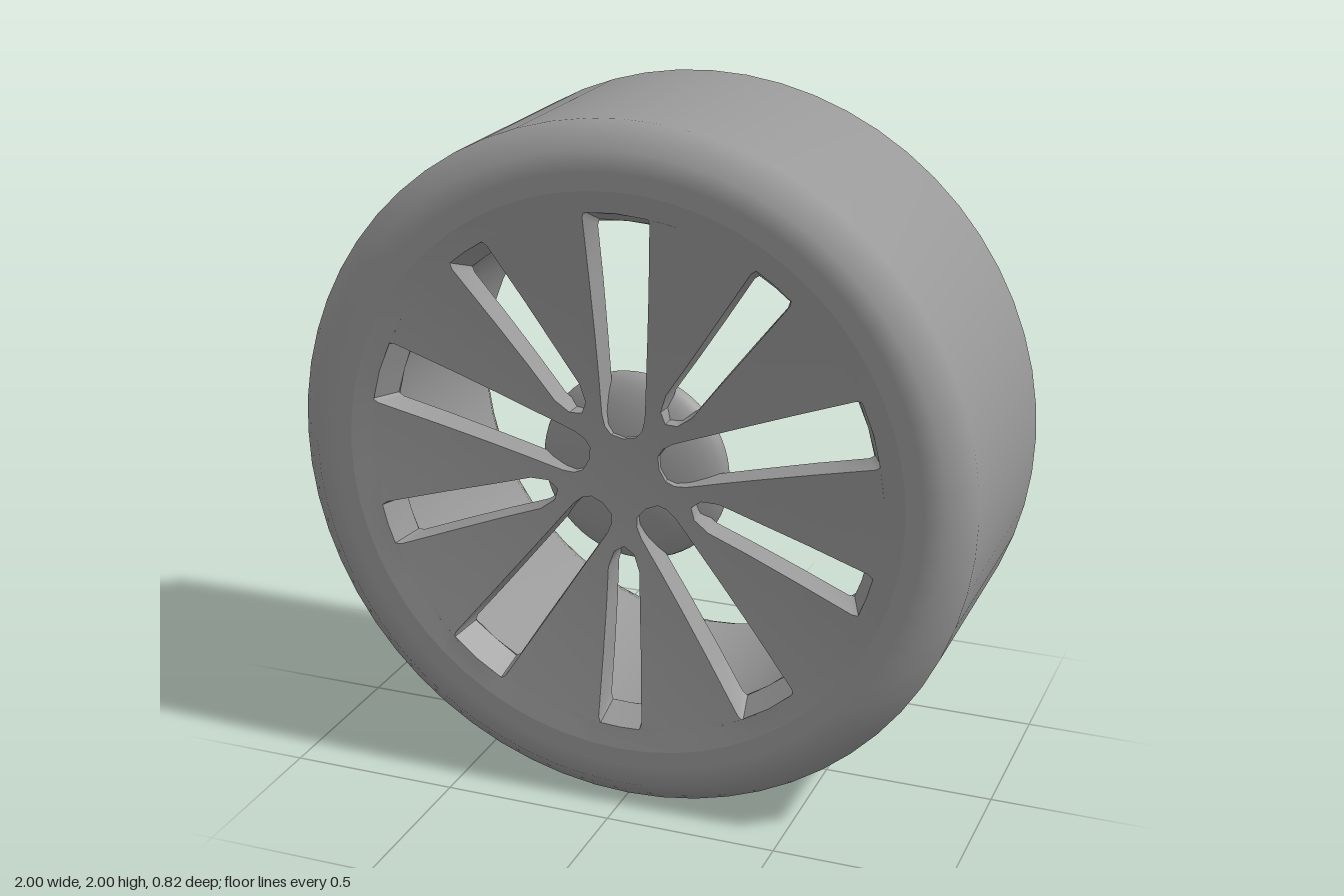
import * as THREE from 'three';
import { toCreasedNormals } from 'three/addons/utils/BufferGeometryUtils.js';

const SIDES = 60;
const SECTOR = Math.PI / 5; // from a wide slot to the next narrow slot
const RIM = 0.82;
const material = new THREE.MeshStandardMaterial({ color: 0x999999 });

function part(name, geometry) {
  const mesh = new THREE.Mesh(geometry, material);
  mesh.name = name;
  return mesh;
}

// Ring turned around the z axis; points are [radius, z]
function turned(points) {
  const g = new THREE.LatheGeometry(points.map(p => new THREE.Vector2(...p)), SIDES);
  return g.rotateX(Math.PI / 2);
}

// Half slot outlines from the centre outwards: [distance along slot, half width]
const WIDE = [
  [0, 0], [0.11, 0], [0.118, 0.037], [0.14, 0.055], [0.173, 0.063], [0.22, 0.066], [0.28, 0.069],
  [0.4, 0.076], [0.55, 0.085], [0.74, 0.096], [0.758, 0.09], [0.76, 0], [RIM, 0],
];
const NARROW = [
  [0, 0], [0.11, 0], [0.15, 0], [0.18, 0], [0.21, 0], [0.23, 0.03], [0.28, 0.047],
  [0.4, 0.051], [0.55, 0.058], [0.735, 0.066], [0.753, 0.06], [0.755, 0], [RIM, 0],
];
const COLS = 6;

// Grid of points across one spoke, blended in polar coordinates;
// the back is less dished and its slots are smaller
function spokeGrid(axis, side, back) {
  const polar = ([u, v]) => {
    const a = back && u > 0.7 && u < 0.77 ? u - 0.04 : u;
    const b = back ? v * 0.88 : v;
    return [Math.hypot(a, b), Math.atan2(b, a)];
  };
  return WIDE.map((w, i) => {
    const [r0, a0] = polar(w);
    const [r1, a1] = polar(NARROW[i]);
    return Array.from({ length: COLS + 1 }, (_, j) => {
      const t = j / COLS;
      const r = r0 + (r1 - r0) * t;
      const angle = axis + side * (a0 + (SECTOR - a1 - a0) * t);
      const dish = 1 - (r / RIM) ** 2;
      const z = back ? 0.33 - 0.04 * dish : 0.41 - 0.055 * dish;
      return [r * Math.cos(angle), r * Math.sin(angle), z];
    });
  });
}

// Spoked face: ten mirrored spokes joined at the centre and the rim
function spokedFace() {
  const positions = [];
  const quad = (side, a, b, c, d) => {
    const [p, q, r, s] = side > 0 ? [a, b, c, d] : [d, c, b, a];
    positions.push(...p, ...q, ...r, ...p, ...r, ...s);
  };
  for (let k = 0; k < 5; k++) {
    for (const side of [1, -1]) {
      const axis = Math.PI / 2 + k * 2 * SECTOR;
      const f = spokeGrid(axis, side, false);
      const b = spokeGrid(axis, side, true);
      for (let i = 0; i < WIDE.length - 1; i++) {
        for (let j = 0; j < COLS; j++) {
          quad(side, f[i][j], f[i + 1][j], f[i + 1][j + 1], f[i][j + 1]);
          quad(side, b[i][j + 1], b[i + 1][j + 1], b[i + 1][j], b[i][j]);
        }
        // Slot walls
        if (WIDE[i][1] + WIDE[i + 1][1] > 0)
          quad(side, f[i][0], b[i][0], b[i + 1][0], f[i + 1][0]);
        if (NARROW[i][1] + NARROW[i + 1][1] > 0)
          quad(side, f[i + 1][COLS], b[i + 1][COLS], b[i][COLS], f[i][COLS]);
      }
    }
  }
  const g = new THREE.BufferGeometry();
  g.setAttribute('position', new THREE.Float32BufferAttribute(positions, 3));
  return toCreasedNormals(g, 0.6);
}

export function createModel() {
  const wheel = new THREE.Group();
  wheel.name = 'wheel';

  // Tyre with its inner barrel and rounded shoulders
  wheel.add(part('tyre', turned([
    [0.745, 0.34], [0.745, -0.34], [0.765, -0.385], [0.82, -0.41], [0.93, -0.41],
    [1, -0.34], [1, 0.34], [0.93, 0.41], [0.87, 0.41], [RIM, 0.41],
  ])));

  wheel.add(part('spokedFace', spokedFace()));

  // Domed hub with a flat back
  const hub = [[0, 0.265]];
  for (let i = 0; i <= 8; i++) {
    const a = (i / 8) * Math.PI / 2;
    hub.push([i === 8 ? 0 : 0.278 * Math.cos(a), 0.265 + 0.085 * Math.sin(a)]);
  }
  wheel.add(part('hub', toCreasedNormals(turned(hub), 0.9)));

  wheel.position.y = 1;
  const model = new THREE.Group();
  model.add(wheel);
  return model;
}
